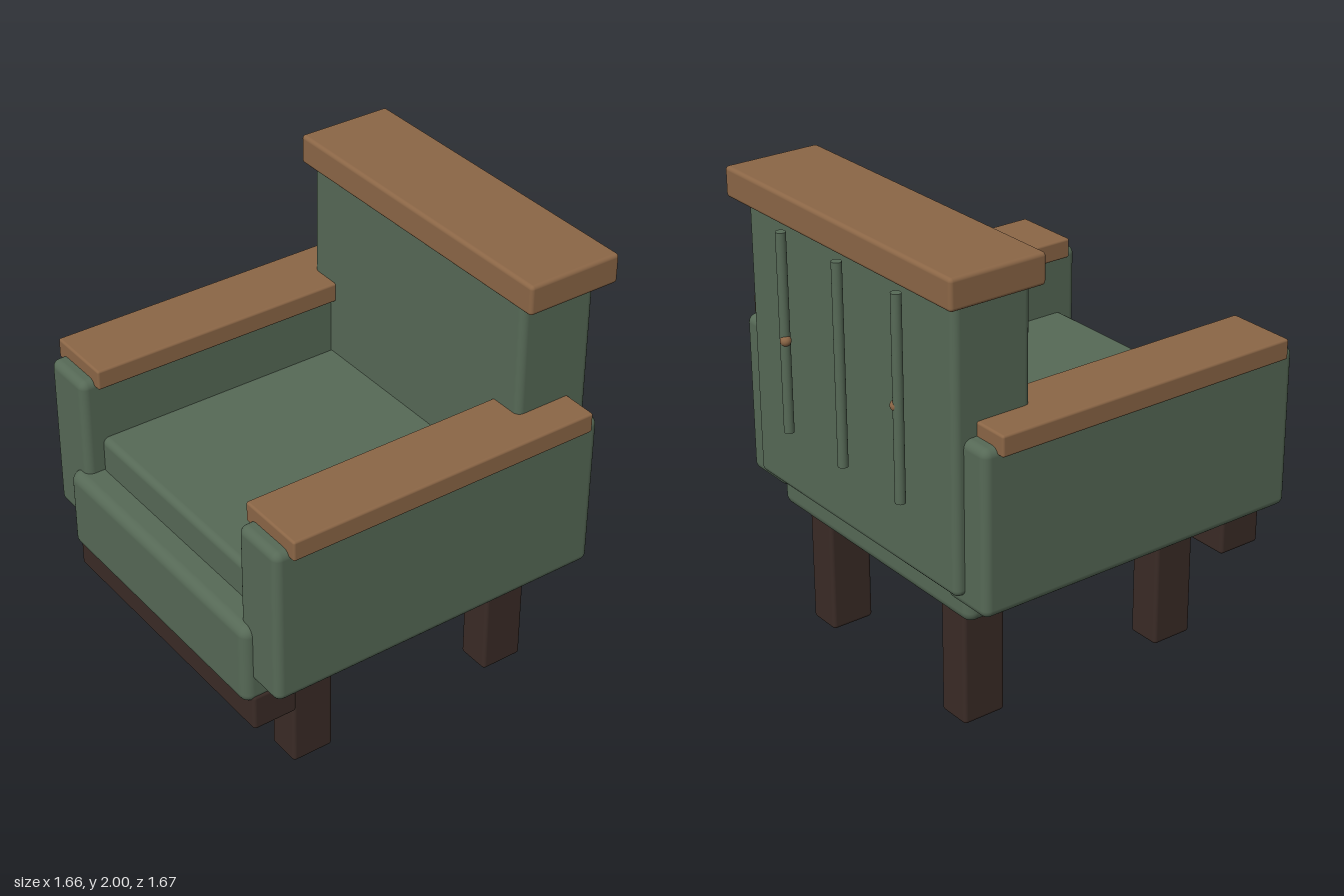
import * as THREE from 'three';
import { RoundedBoxGeometry } from 'three/addons/geometries/RoundedBoxGeometry.js';

const fabric = new THREE.MeshStandardMaterial({ color: 0x566956 });
const wood = new THREE.MeshStandardMaterial({ color: 0x8b6646 });
const darkWood = new THREE.MeshStandardMaterial({ color: 0x3a2b26 });

export function createModel() {
  const chair = new THREE.Group();

  function add(name, geometry, material, x, y, z) {
    const mesh = new THREE.Mesh(geometry, material);
    mesh.name = name;
    mesh.position.set(x, y, z);
    chair.add(mesh);
  }

  // Rounded block given by its extents on each axis
  function block(name, material, [x0, x1], [y0, y1], [z0, z1], radius) {
    const geometry = new RoundedBoxGeometry(x1 - x0, y1 - y0, z1 - z0, 4, radius);
    add(name, geometry, material, (x0 + x1) / 2, (y0 + y1) / 2, (z0 + z1) / 2);
  }

  // Seat
  block('seatBase', fabric, [-0.64, 0.64], [0.52, 0.89], [-0.69, 0.835], 0.045);
  block('seatCushion', fabric, [-0.57, 0.57], [0.8, 1.045], [-0.5, 0.715], 0.03);
  block('frontRail', darkWood, [-0.645, 0.645], [0.39, 0.555], [0.6, 0.8], 0.015);

  // Backrest and its wooden cap
  block('backrest', fabric, [-0.675, 0.675], [0.68, 1.92], [-0.77, -0.42], 0.03);
  block('backCap', wood, [-0.737, 0.737], [1.872, 2], [-0.828, -0.4], 0.016);

  // Arms, arm caps and legs, mirrored
  const span = (side, a, b) => (side > 0 ? [a, b] : [-b, -a]);
  for (const side of [-1, 1]) {
    const label = side > 0 ? 'left' : 'right';
    block(label + 'Arm', fabric, span(side, 0.553, 0.8), [0.63, 1.33], [-0.73, 0.795], 0.035);
    block(label + 'ArmCap', wood, span(side, 0.522, 0.83), [1.3, 1.388], [-0.67, 0.735], 0.01);
    block(label + 'FrontLeg', darkWood, span(side, 0.38, 0.533), [0, 0.52], [0.35, 0.54], 0.016);
    block(label + 'BackLeg', darkWood, span(side, 0.38, 0.533), [0, 0.52], [-0.63, -0.435], 0.016);
    // Small knob on the outer back rod
    add(label + 'BackKnob', new THREE.SphereGeometry(0.023, 20, 14), wood, side * 0.37, 1.38, -0.812);
  }

  // Upright rods behind the backrest
  for (const x of [-0.38, 0, 0.38]) {
    add('backRod', new THREE.CylinderGeometry(0.021, 0.021, 0.85, 20), fabric, x, 1.405, -0.808);
  }

  return chair;
}
